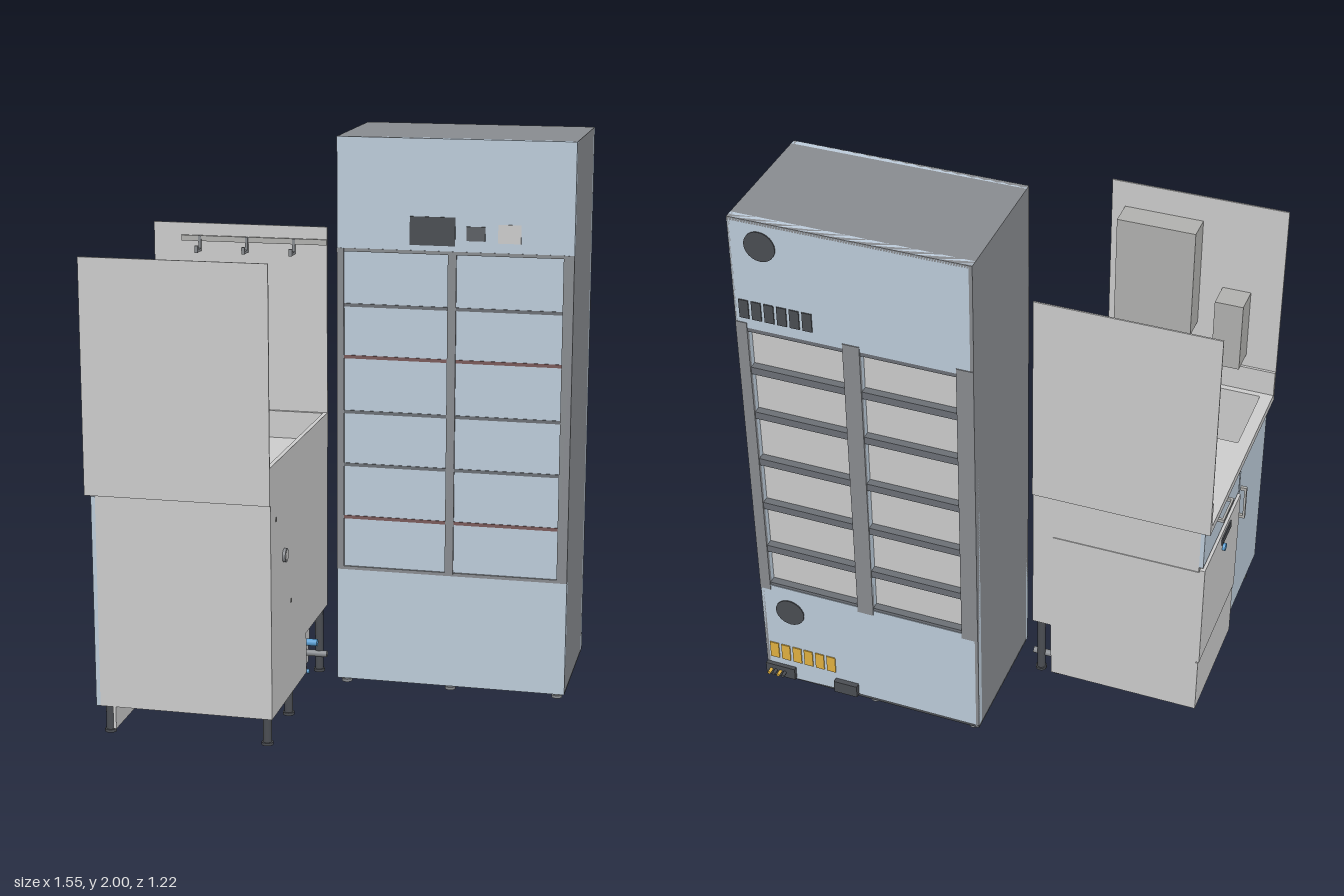
import * as THREE from 'three';

const GREY = 0xcccccc, BLUE = 0xbccbd9, STEEL = 0x888b8f, DARK = 0x4a4d52, BOXGREY = 0xb0b0ae, PIPE = 0x5a9fd4, YELLOW = 0xe0b040;
const mats = {};
const mat = (c) => (mats[c] ??= new THREE.MeshStandardMaterial({ color: c }));

export function createModel() {
  const root = new THREE.Group();
  let group = root;
  const begin = (name) => { group = new THREE.Group(); group.name = name; root.add(group); };
  const add = (name, geo, color) => {
    const m = new THREE.Mesh(geo, mat(color));
    m.name = name;
    group.add(m);
    return m;
  };
  // Box given by its limits on each axis
  const box = (name, x0, x1, y0, y1, z0, z1, color = GREY) => {
    const m = add(name, new THREE.BoxGeometry(x1 - x0, y1 - y0, z1 - z0), color);
    m.position.set((x0 + x1) / 2, (y0 + y1) / 2, (z0 + z1) / 2);
    return m;
  };
  // Cylinder centred on a point, along the given axis
  const cyl = (name, r, len, x, y, z, axis = 'y', color = GREY) => {
    const m = add(name, new THREE.CylinderGeometry(r, r, len, 24), color);
    m.position.set(x, y, z);
    if (axis === 'x') m.rotation.z = Math.PI / 2;
    if (axis === 'z') m.rotation.x = Math.PI / 2;
    return m;
  };
  const foot = (x, z, h, r, color) => {
    cyl('leg', r, h, x, h / 2, z, 'y', color);
    cyl('legPad', r * 1.35, 0.01, x, 0.005, z, 'y', color);
  };
  const rect = (C, a0, a1, b0, b1) => {
    const p = new C();
    p.moveTo(a0, b0); p.lineTo(a1, b0); p.lineTo(a1, b1); p.lineTo(a0, b1); p.closePath();
    return p;
  };

  // ---- Tall storage cabinet ----
  begin('tallCabinet');
  const L = -0.06, R = 0.775, F = -0.07, B = -0.575;
  box('cabinetCore', L + 0.005, R - 0.005, 0.03, 1.99, B + 0.03, F - 0.012, GREY);
  box('leftSide', R - 0.012, R, 0.02, 2, B, F, STEEL);
  box('rightSide', L, L + 0.012, 0.02, 2, B, F, STEEL);
  box('roof', L, R, 1.988, 2, B, F, STEEL);
  box('floor', L, R, 0.02, 0.032, B, F, DARK);

  // Front: fascia panels, glazed doors, shelf lines
  box('upperFascia', L, R, 1.61, 2, F - 0.02, F + 0.001, BLUE);
  box('lowerFascia', L, R, 0.02, 0.44, F - 0.02, F + 0.001, BLUE);
  box('doorPane', L + 0.01, R - 0.01, 0.44, 1.61, F - 0.015, F - 0.005, BLUE);
  for (const [a, b] of [[L, -0.035], [0.335, 0.365], [0.738, R]])
    box('doorStile', a, b, 0.44, 1.61, F - 0.015, F + 0.003, STEEL);
  for (const y of [1.605, 0.443])
    box('doorRail', L, R, y - 0.006, y + 0.006, F - 0.015, F + 0.002, STEEL);
  const shelfYs = [1.408, 1.222, 1.022, 0.828, 0.633];
  shelfYs.forEach((y, i) => {
    for (const [a, b] of [[-0.035, 0.335], [0.365, 0.738]])
      box('shelfEdge', a, b, y - 0.006, y + 0.006, F - 0.015, F - 0.002, i === 1 || i === 4 ? 0x7a5a5a : 0x6b6f75);
  });
  box('display', 0.2, 0.36, 1.63, 1.73, F, F + 0.004, DARK);
  box('cardReader', 0.4, 0.465, 1.65, 1.7, F, F + 0.004, 0x5c5f64);
  box('keypad', 0.51, 0.59, 1.645, 1.71, F, F + 0.004, GREY);

  // Back: plate with two recessed window columns
  const back = rect(THREE.Shape, L, R, 0.02, 2);
  const windows = [[0.0, 0.335], [0.395, 0.735]];
  windows.forEach(([a, b]) => back.holes.push(rect(THREE.Path, a, b, 0.46, 1.58)));
  add('backPlate', new THREE.ExtrudeGeometry(back, { depth: 0.03, bevelEnabled: false }), BLUE).position.z = B;
  for (const [a, b] of [[L, 0], [0.335, 0.395], [0.735, R]])
    box('backStile', a, b, 0.44, 1.6, B - 0.003, B + 0.01, STEEL);
  for (const [a, b] of windows) {
    for (const y of [0.46, ...shelfYs, 1.58])
      box('backShelf', a, b, y - 0.016, y + 0.012, B + 0.002, B + 0.03, 0x6b6f75);
  }
  for (const y of [1.91, 0.35]) cyl('fanGrille', 0.055, 0.006, 0.665, y, B - 0.001, 'z', DARK);
  for (let i = 0; i < 6; i++) {
    const x = 0.74 - i * 0.045;
    box('upperVentSlot', x - 0.017, x + 0.017, 1.62, 1.69, B - 0.004, B + 0.01, DARK);
    box('lowerVentSlot', x - 0.017, x + 0.017, 0.11, 0.18, B - 0.004, B + 0.01, YELLOW);
  }
  box('connectionBlock', 0.66, R, 0.03, 0.08, B - 0.015, B, DARK);
  box('powerInlet', 0.41, 0.5, 0.03, 0.08, B - 0.02, B, DARK);
  for (let i = 0; i < 4; i++)
    cyl('connector', 0.006, 0.025, 0.7 + i * 0.018, 0.055, B - 0.025, 'z', i % 2 ? YELLOW : DARK);
  for (const x of [-0.03, 0.355, 0.745])
    for (const z of [-0.1, -0.545]) foot(x, z, 0.025, 0.014, STEEL);

  // ---- Sink unit, its doors facing -x ----
  begin('sinkUnit');
  const sx0 = -0.755, sx1 = -0.13, z0 = -0.21, z1 = 0.6;
  box('cupboardBase', sx0 + 0.015, sx1, 0.1, 0.62, 0.24, z1);
  box('machineBay', sx0 + 0.015, -0.2, 0.1, 0.62, z0, 0.24);
  // Rear service panel with the cut-out for the pipes
  const rear = new THREE.Shape();
  [[-z1, 0.1], [-0.12, 0.1], [-0.12, 0.25], [-z0, 0.25], [-z0, 0.62], [-z1, 0.62]]
    .forEach(([a, b], i) => (i ? rear.lineTo(a, b) : rear.moveTo(a, b)));
  const rearPanel = add('rearPanel', new THREE.ExtrudeGeometry(rear, { depth: 0.07, bevelEnabled: false }), GREY);
  rearPanel.rotation.y = Math.PI / 2;
  rearPanel.position.x = sx1 - 0.07;
  // Upper carcass and worktop, both open for the basin
  const slab = (name, xa, xb, za, zb, y, h) => {
    const s = rect(THREE.Shape, xa, xb, -zb, -za);
    s.holes.push(rect(THREE.Path, -0.73, -0.435, -0.57, -0.275));
    const m = add(name, new THREE.ExtrudeGeometry(s, { depth: h, bevelEnabled: false }), GREY);
    m.rotation.x = -Math.PI / 2;
    m.position.y = y;
  };
  slab('upperCarcass', sx0 + 0.015, sx1, z0, z1, 0.62, 0.23);
  slab('worktop', -0.775, sx1, -0.215, 0.605, 0.85, 0.03);
  cyl('drain', 0.025, 0.006, -0.58, 0.623, 0.42, 'y', BOXGREY);
  box('rearUpstand', sx1 - 0.015, sx1, 0.88, 0.98, -0.215, 0.605);
  box('nearUpstand', -0.775, sx1, 0.88, 0.98, 0.592, 0.605);
  box('farUpstand', -0.775, sx1, 0.88, 0.98, -0.215, -0.202);

  // Faucet
  cyl('faucetBody', 0.018, 0.1, -0.385, 0.93, 0.42);
  box('faucetSpout', -0.485, -0.385, 0.955, 0.975, 0.41, 0.43);
  cyl('faucetNozzle', 0.008, 0.025, -0.475, 0.945, 0.42);
  cyl('faucetCap', 0.02, 0.008, -0.385, 0.982, 0.42);

  // Doors, drawer and under-counter washer
  box('cupboardDoor', sx0, sx0 + 0.015, 0.1, 0.845, 0.25, z1, BLUE);
  box('drawerFront', sx0, sx0 + 0.015, 0.69, 0.845, z0, 0.24, BLUE);
  box('washerBody', sx0 + 0.004, -0.205, 0.02, 0.67, z0 - 0.003, 0.24);
  box('washerDoor', sx0 - 0.008, sx0 + 0.012, 0.25, 0.68, z0 - 0.003, 0.24);
  box('washerKickPanel', sx0 - 0.004, sx0 + 0.012, 0.02, 0.245, z0 - 0.003, 0.24);
  box('washerLabel', -0.768, sx0, 0.63, 0.66, 0, 0.11, DARK);
  cyl('washerButton', 0.014, 0.012, -0.767, 0.6, 0.03, 'x', PIPE);
  box('drawerHandle', -0.778, -0.77, 0.776, 0.788, -0.05, 0.08, BOXGREY);
  for (const z of [-0.045, 0.075]) box('handlePost', -0.775, sx0, 0.776, 0.788, z - 0.005, z + 0.005, BOXGREY);
  box('doorHandle', -0.778, -0.77, 0.55, 0.69, 0.264, 0.276, BOXGREY);
  for (const y of [0.556, 0.684]) box('handlePost', -0.775, sx0, y - 0.006, y + 0.006, 0.264, 0.276, BOXGREY);
  box('plinth', -0.695, -0.685, 0.02, 0.1, 0.24, z1);
  for (const x of [-0.715, -0.155]) for (const z of [0.57, 0.28]) foot(x, z, 0.1, 0.015, DARK);
  foot(-0.155, -0.18, 0.25, 0.015, DARK);
  for (const z of [-0.18, 0.2]) foot(-0.22, z, 0.03, 0.012, DARK);

  // Pipe stubs on the rear
  cyl('wasteOutlet', 0.024, 0.02, -0.13, 0.63, 0.425, 'x', STEEL);
  cyl('wasteBore', 0.018, 0.022, -0.13, 0.63, 0.425, 'x', GREY);
  cyl('waterInlet', 0.013, 0.08, -0.163, 0.165, -0.02, 'x', PIPE);
  cyl('waterFeed', 0.008, 0.08, -0.163, 0.098, 0.1, 'x', PIPE);
  cyl('hosePort', 0.012, 0.08, -0.163, 0.07, -0.17, 'x', STEEL);
  cyl('cablePort', 0.008, 0.004, -0.13, 0.785, 0.53, 'x', BOXGREY);
  cyl('cablePort', 0.008, 0.004, -0.13, 0.44, 0.335, 'x', BOXGREY);

  // ---- Splash walls with dispensers and hooks ----
  begin('splashWalls');
  box('nearWall', -0.775, sx1, 0.85, 1.66, 0.602, 0.608);
  box('farWall', -0.775, sx1, 0.85, 1.66, -0.22, -0.214);
  box('towelDispenser', -0.47, -0.18, 1.13, 1.56, 0.508, 0.603, BOXGREY);
  box('soapDispenser', -0.66, -0.555, 1.03, 1.3, 0.502, 0.603, BOXGREY);
  box('soapSpout', -0.625, -0.59, 1.015, 1.03, 0.525, 0.56, STEEL);
  box('hookRail', -0.67, sx1, 1.595, 1.615, -0.215, -0.205, BOXGREY);
  for (const x of [-0.6, -0.425, -0.25]) {
    box('hookStem', x - 0.005, x + 0.005, 1.56, 1.615, -0.208, -0.2, STEEL);
    box('hookArm', x - 0.005, x + 0.005, 1.56, 1.57, -0.2, -0.16, STEEL);
    box('hookTip', x - 0.006, x + 0.006, 1.56, 1.585, -0.163, -0.153, STEEL);
  }
  return root;
}
